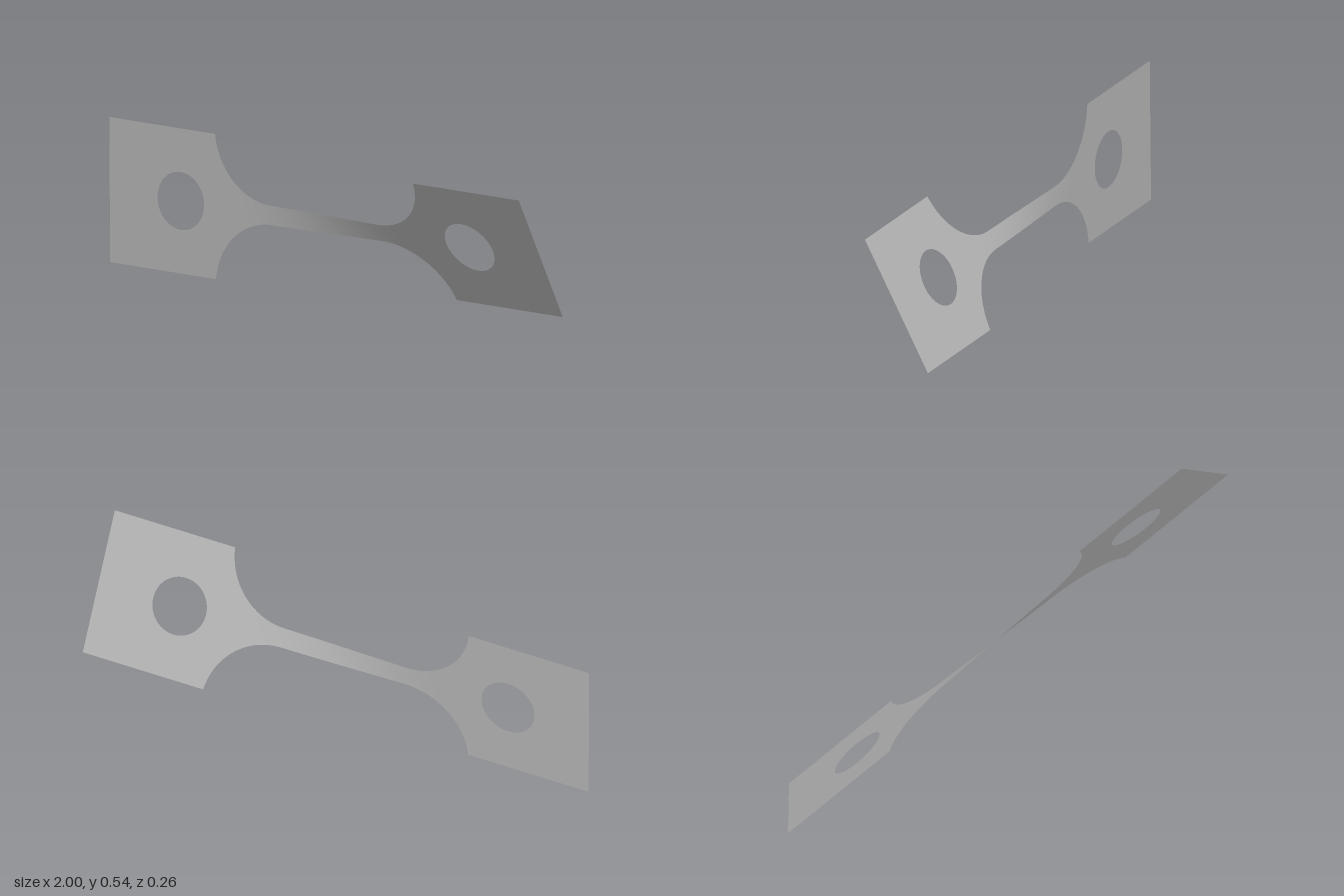
import * as THREE from 'three';

const MID = 0.2705;      // height of the long axis, also half the plate height
const NECK = 0.0365;     // half height of the neck
const RADIUS = 0.26;     // shoulder fillet
const FILLET_X = 0.25;   // where the fillet starts
const EDGE = 0.5085;     // where the plates start
const TWIST = [0.01, 0.498]; // lean of the right-hand and left-hand plates

const leanAt = (x) => THREE.MathUtils.lerp(...TWIST, THREE.MathUtils.smoothstep(x, -0.42, 0.42));

function halfHeight(x) {
  const d = Math.min(Math.max(Math.abs(x) - FILLET_X, 0), RADIUS);
  return Math.min(NECK + RADIUS - Math.sqrt(RADIUS * RADIUS - d * d), MID);
}

// Flat grip plate with a round hole
function gripPlate(side, material) {
  const a = side > 0 ? EDGE : -1;
  const b = side > 0 ? 1 : -EDGE;
  const shape = new THREE.Shape();
  shape.moveTo(a, -MID).lineTo(b, -MID).lineTo(b, MID).lineTo(a, MID).closePath();
  shape.holes.push(new THREE.Path().absarc(side * 0.67, 0, 0.108, 0, Math.PI * 2, true));
  const mesh = new THREE.Mesh(new THREE.ShapeGeometry(shape, 32), material);
  mesh.rotation.x = leanAt(side);
  mesh.position.y = MID;
  return mesh;
}

// Waisted strip, twisted along its length
function twistedNeck(material) {
  const geometry = new THREE.PlaneGeometry(2, 2, 96, 8);
  const p = geometry.attributes.position;
  for (let i = 0; i < p.count; i++) {
    const x = EDGE * Math.sin(p.getX(i) * Math.PI / 2); // finer towards the shoulders
    const h = halfHeight(x) * p.getY(i);
    const lean = leanAt(x);
    p.setXYZ(i, x, MID + h * Math.cos(lean), h * Math.sin(lean));
  }
  geometry.computeVertexNormals();
  return new THREE.Mesh(geometry, material);
}

export function createModel() {
  const steel = new THREE.MeshStandardMaterial({ color: 0xb4b4b4, side: THREE.DoubleSide });
  steel.name = 'grey steel';
  const group = new THREE.Group();
  group.name = 'twistedTestStrip';

  const neck = twistedNeck(steel);
  neck.name = 'twistedNeck';
  const right = gripPlate(-1, steel);
  right.name = 'rightGripPlate';
  const left = gripPlate(1, steel);
  left.name = 'leftGripPlate';

  group.add(neck, right, left);
  return group;
}
